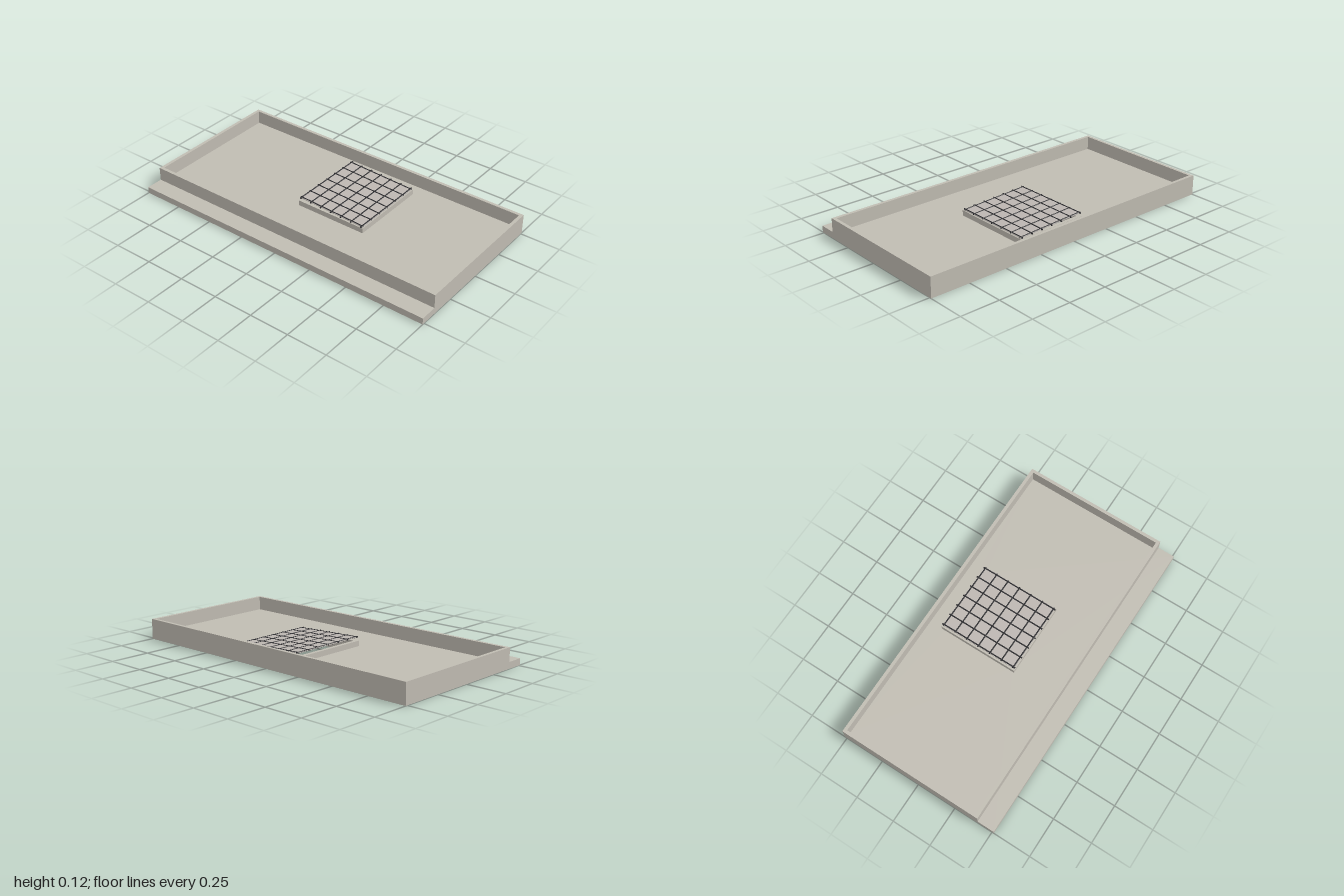
import * as THREE from 'three';

// Rectangle outline [x0, x1, z0, z1] as points in plan
function outline([x0, x1, z0, z1]) {
  return [[x0, -z1], [x1, -z1], [x1, -z0], [x0, -z0]].map(([x, y]) => new THREE.Vector2(x, y));
}

// Flat slab with a rectangular opening, from height y0 to y1
function slabWithOpening(name, outer, inner, y0, y1, material) {
  const shape = new THREE.Shape(outline(outer));
  shape.holes.push(new THREE.Path(outline(inner).reverse()));
  const geometry = new THREE.ExtrudeGeometry(shape, { depth: y1 - y0, bevelEnabled: false });
  geometry.rotateX(-Math.PI / 2).translate(0, y0, 0);
  const mesh = new THREE.Mesh(geometry, material);
  mesh.name = name;
  return mesh;
}

export function createModel() {
  const concrete = new THREE.MeshStandardMaterial({ color: 0xc0bcb2 });
  concrete.name = 'concrete';
  const metal = new THREE.MeshStandardMaterial({ color: 0x2b2b2e });
  metal.name = 'dark metal';
  const glass = new THREE.MeshStandardMaterial({ color: 0xbcb6b1 });
  glass.name = 'pale glass';

  const model = new THREE.Group();
  model.name = 'flatRoof';

  // Slab with side ledge, parapet and hatch curb
  const curb = [-0.1, 0.41, -0.155, 0.31];
  const opening = [-0.077, 0.387, -0.132, 0.287];
  model.add(
    slabWithOpening('roofSlab', [-0.512, 0.512, -1, 1], opening, 0, 0.04, concrete),
    slabWithOpening('parapet', [-0.405, 0.512, -1, 1], [-0.385, 0.492, -0.98, 0.98], 0.04, 0.125, concrete),
    slabWithOpening('hatchCurb', curb, opening, 0.04, 0.073, concrete),
  );

  // Skylight hinged along its front edge, slightly open at the back
  const skylight = new THREE.Group();
  skylight.name = 'skylight';
  skylight.position.set(0.155, 0.077, 0.31);
  skylight.rotation.x = 0.04;
  model.add(skylight);

  const width = 0.51, depth = 0.465;
  const pane = new THREE.Mesh(new THREE.BoxGeometry(width - 0.01, 0.004, depth - 0.01), glass);
  pane.name = 'pane';
  pane.position.z = -depth / 2;
  skylight.add(pane);

  // Grid of seven bars each way
  const along = new THREE.CylinderGeometry(0.005, 0.005, depth - 0.01, 8).rotateX(Math.PI / 2);
  const across = new THREE.CylinderGeometry(0.005, 0.005, width, 8).rotateZ(Math.PI / 2);
  for (let i = 0; i < 7; i++) {
    const t = i / 6 - 0.5;
    const longBar = new THREE.Mesh(along, metal);
    longBar.name = 'longBar';
    longBar.position.set(t * 0.485, 0, -depth / 2);
    const crossBar = new THREE.Mesh(across, metal);
    crossBar.name = 'crossBar';
    crossBar.position.set(0, 0, -depth / 2 + t * 0.44);
    skylight.add(longBar, crossBar);
  }
  return model;
}
